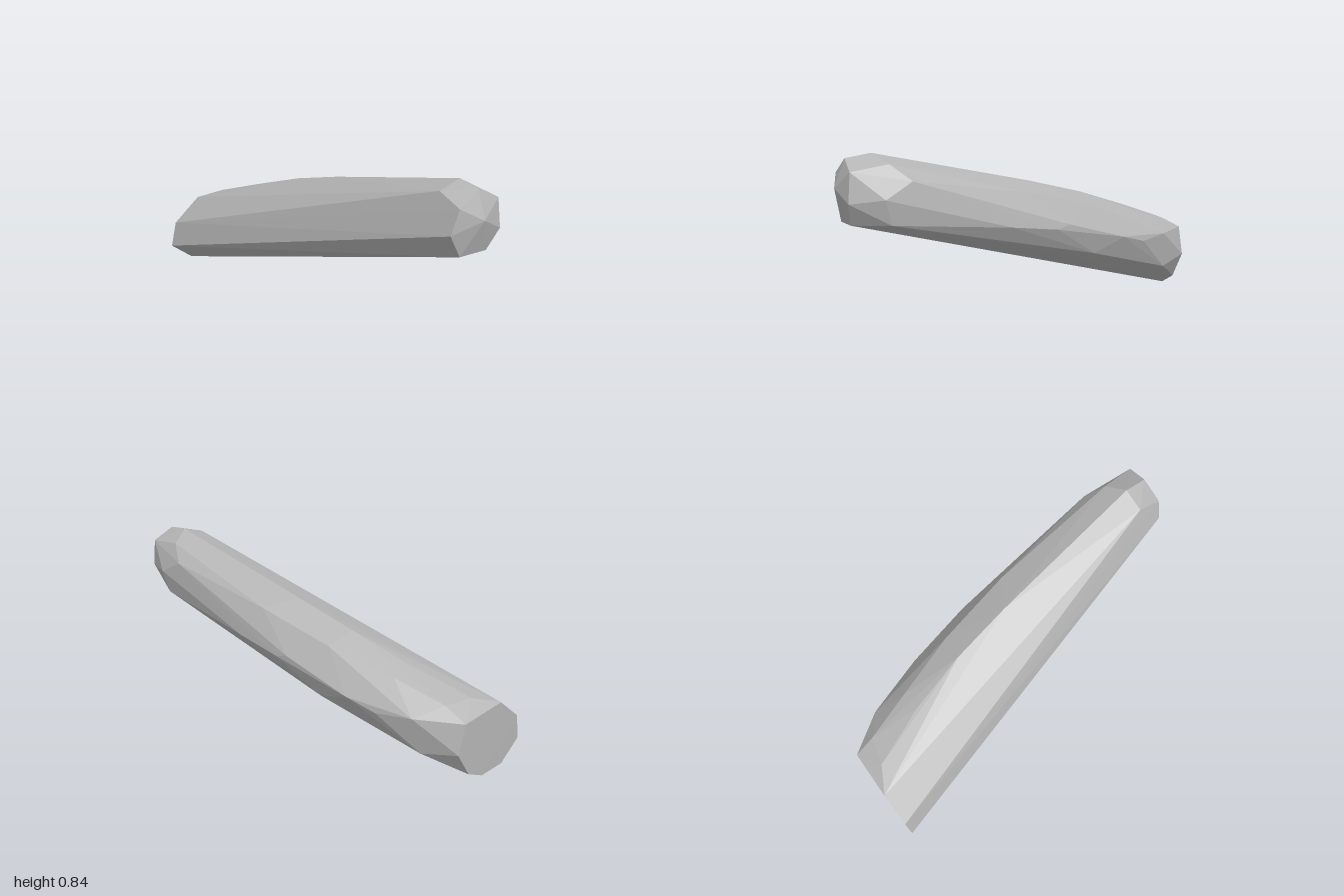
import * as THREE from 'three';
import { ConvexGeometry } from 'three/addons/geometries/ConvexGeometry.js';

// Corner points of the faceted bar, grouped by region
const noseTip = [[0.205, 0.69, 1]];
const noseRing = [
  [0.055, 0.635, 0.955], [0.118, 0.527, 0.95], [0.272, 0.53, 0.95], [0.327, 0.63, 0.972],
  [0.317, 0.768, 0.96], [0.205, 0.82, 0.95], [0.093, 0.75, 0.962],
];
const shoulderRing = [
  [0.093, 0.8, 0.83], [0.205, 0.84, 0.83], [0.307, 0.795, 0.78],
  [0.357, 0.72, 0.69], [0.376, 0.645, 0.82], [0.36, 0.53, 0.79],
];
// Gently bowed top and outer side
const topRidge = [
  [0.13, 0.672, 0], [0.09, 0.597, -0.32], [0.03, 0.507, -0.62], [-0.07, 0.413, -0.92],
];
const outerShoulder = [
  [0.285, 0.635, 0.1], [0.225, 0.55, -0.3], [0.135, 0.48, -0.63], [0.07, 0.413, -0.88],
];
const outerSide = [
  [0.357, 0.48, 0.2], [0.343, 0.45, -0.05], [0.333, 0.47, -0.12], [0.276, 0.302, -0.3],
  [0.286, 0.375, -0.47], [0.246, 0.335, -0.62], [0.19, 0.355, -0.79], [0.15, 0.165, -0.82],
  [0.25, 0.32, -0.1],
];
// Flat cut end
const cutEnd = [
  [-0.377, 0.095, -1], [-0.253, 0.002, -1], [-0.095, 0.012, -1], [0.008, 0.068, -0.995],
  [0.095, 0.21, -0.99], [0.06, 0.36, -0.99], [-0.195, 0.37, -0.997], [-0.345, 0.235, -1],
];

export function createModel() {
  const stone = new THREE.MeshStandardMaterial({ color: 0xb4b4b4 });
  stone.name = 'stoneGrey';

  // Convex hull gives flat facets between the corners
  const corners = [noseTip, noseRing, shoulderRing, topRidge, outerShoulder, outerSide, cutEnd]
    .flat()
    .map((p) => new THREE.Vector3(...p));
  const bar = new THREE.Mesh(new ConvexGeometry(corners), stone);
  bar.name = 'facetedBar';

  const group = new THREE.Group();
  group.name = 'facetedStone';
  group.add(bar);
  return group;
}
